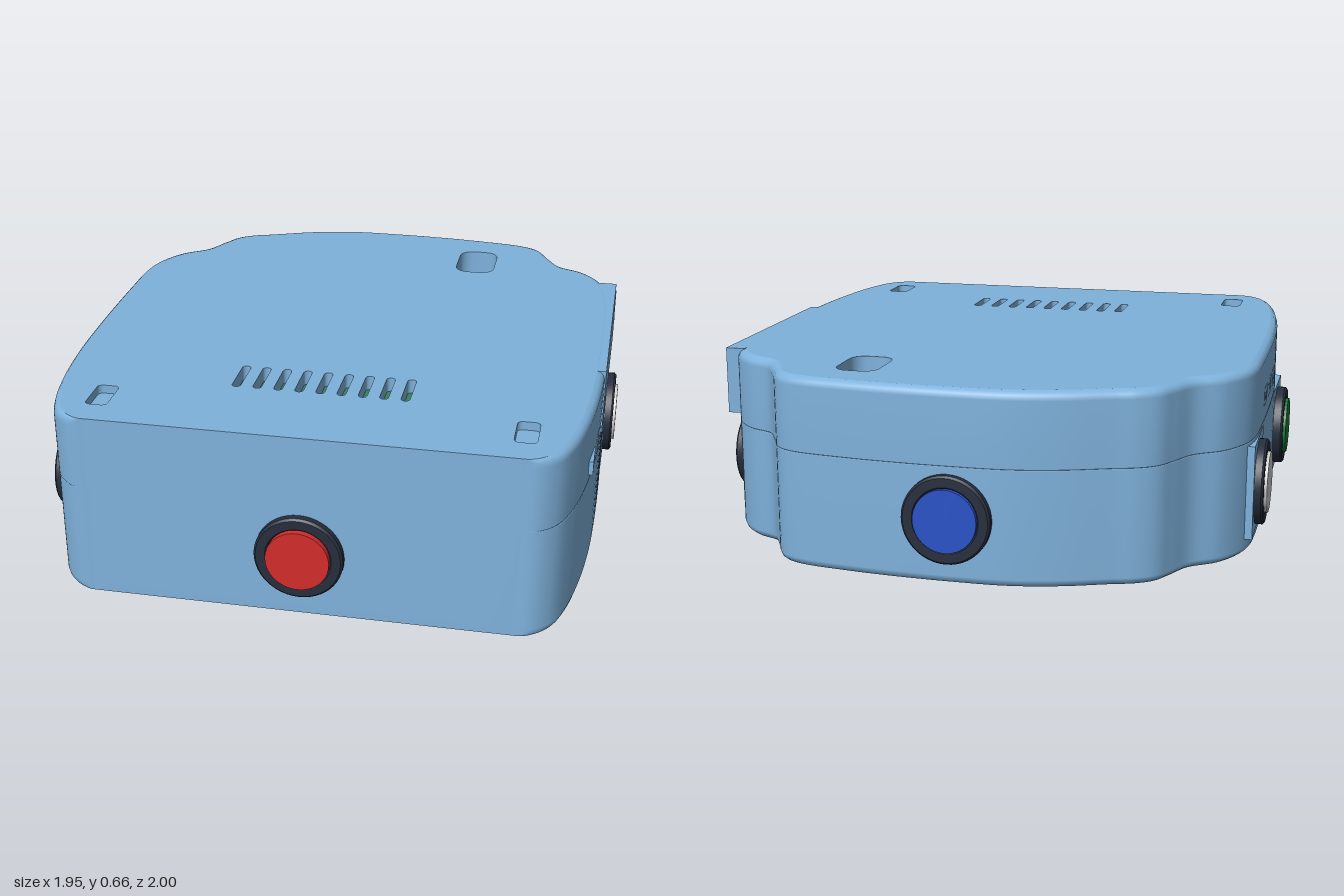
import * as THREE from 'three';
import { toCreasedNormals } from 'three/addons/utils/BufferGeometryUtils.js';

const TOP = 0.657, SEAM = 0.4, FRONT = 0.955;
const mat = (color) => new THREE.MeshStandardMaterial({ color, side: THREE.DoubleSide });
const shell = mat(0x7fb2dc), recess = mat(0x5f8db3), rubber = mat(0x262e3d);
const dark = mat(0x3c434b), black = mat(0x1c262e), board = mat(0x35805a);

function add(parent, name, geometry, material, x = 0, y = 0, z = 0) {
  const mesh = new THREE.Mesh(geometry, material);
  mesh.name = name;
  mesh.position.set(x, y, z);
  parent.add(mesh);
  return mesh;
}

// Plan of the housing as [x, z], running back, right, front, left
const plan = [
  [0, -0.965], [0.2, -0.96], [0.38, -0.945], [0.54, -0.92], [0.605, -0.885], [0.66, -0.79],
  [0.71, -0.715], [0.8, -0.67], [0.865, -0.6], [0.905, -0.5], [0.925, -0.38], [0.932, -0.2],
  [0.932, 0.2], [0.922, 0.45], [0.9, 0.65], [0.87, 0.8], [0.83, 0.9], [0.77, 0.95], [0.7, FRONT],
  [-0.7, FRONT], [-0.77, 0.95], [-0.83, 0.9], [-0.87, 0.8], [-0.9, 0.65], [-0.922, 0.45],
  [-0.932, 0.2], [-0.932, -0.2], [-0.925, -0.38], [-0.9, -0.475], [-0.84, -0.57], [-0.75, -0.64],
  [-0.7, -0.73], [-0.66, -0.795], [-0.6, -0.836], [-0.53, -0.86], [-0.37, -0.92], [-0.2, -0.958],
];
const outline = new THREE.CatmullRomCurve3(plan.map(([x, z]) => new THREE.Vector3(x, 0, z)), true)
  .getPoints(222).slice(0, -1).map((p) => [p.x, Math.min(p.z, FRONT)]);

// Shrinks the plan at the sides and back while the front stays flush
const inset = (d) => outline.map(([x, z]) => [x * (1 - d), FRONT + (z - FRONT) * (1 - d / 2)]);

// Wall through closed rings of [x, z] points, one ring per height
function wall(rings, heights) {
  const n = rings[0].length, pos = [], index = [];
  rings.forEach((ring, k) => ring.forEach(([x, z]) => pos.push(x, heights[k], z)));
  for (let k = 0; k + 1 < rings.length; k++) {
    for (let i = 0; i < n; i++) {
      const a = k * n + i, b = k * n + (i + 1) % n;
      index.push(a, a + n, b, b, a + n, b + n);
    }
  }
  const g = new THREE.BufferGeometry();
  g.setAttribute('position', new THREE.Float32BufferAttribute(pos, 3));
  g.setIndex(index);
  g.computeVertexNormals();
  return g;
}

// Flat plate facing up (dir 1) or down (dir -1) with holes
function plate(points, holes, dir) {
  const v = (list) => list.map(([x, z]) => new THREE.Vector2(x, -dir * z));
  const shape = new THREE.Shape(v(points));
  shape.holes = holes.map((h) => new THREE.Path(v(h)));
  return new THREE.ShapeGeometry(shape).rotateX(-dir * Math.PI / 2);
}

// Rounded rectangle as [x, z] points
function roundRect(cx, cz, w, d, r, steps = 5) {
  const points = [];
  [[1, 1], [-1, 1], [-1, -1], [1, -1]].forEach(([sx, sz], q) => {
    for (let i = 0; i <= steps; i++) {
      const a = (q + i / steps) * Math.PI / 2;
      points.push([cx + sx * (w / 2 - r) + r * Math.cos(a), cz + sz * (d / 2 - r) + r * Math.sin(a)]);
    }
  });
  return points;
}

// Recess in the top or bottom: side walls and a floor
function pocket(parent, name, { points, depth, floor }, y, dir) {
  const g = new THREE.Group();
  g.name = name;
  parent.add(g);
  add(g, 'pocketWall', wall([points, points], [y, y - dir * depth]), shell);
  add(g, 'pocketFloor', plate(points, [], dir), floor, 0, y - dir * depth, 0);
}

function half(parent, name, levels) {
  add(parent, name, wall(levels.map((l) => inset(l[1])), levels.map((l) => l[0])), shell);
}

// Round button with a rubber ring, its axis along +y
function button(parent, name, color, position, rx, rz, capHeight) {
  const g = new THREE.Group();
  g.name = name;
  g.position.set(...position);
  g.rotation.set(rx, 0, rz);
  parent.add(g);
  const profile = [[0.106, -0.06], [0.15, -0.06], [0.15, 0.022], [0.143, 0.029], [0.112, 0.029], [0.106, 0.022]]
    .map(([r, h]) => new THREE.Vector2(r, h));
  add(g, 'buttonRing', toCreasedNormals(new THREE.LatheGeometry(profile, 48), 0.5), rubber);
  add(g, 'buttonCap', new THREE.CylinderGeometry(0.107, 0.107, capHeight, 48), mat(color), 0, capHeight / 2, 0);
}

export function createModel() {
  const model = new THREE.Group();
  model.name = 'roundedDevice';

  // Housing halves with softened edges and a fine seam
  half(model, 'lowerShell', [[0, 0.03], [0.005, 0.016], [0.014, 0.006], [0.03, 0], [0.397, 0], [SEAM, 0.004]]);
  half(model, 'upperShell', [[SEAM, 0.004], [0.403, 0], [0.627, 0], [0.643, 0.006], [0.652, 0.016], [TOP, 0.03]]);

  // Top: vents, corner sockets and a rounded opening
  const topPockets = [{ points: roundRect(0.37, -0.68, 0.15, 0.225, 0.05), depth: 0.12, floor: dark }];
  for (let i = -4; i <= 4; i++) {
    topPockets.push({ points: roundRect(i * 0.0725, 0.545, 0.03, 0.165, 0.0145), depth: 0.05, floor: board });
  }
  for (const s of [-1, 1]) {
    topPockets.push({ points: roundRect(s * 0.71, 0.775, 0.075, 0.145, 0.018), depth: 0.03, floor: shell });
  }
  add(model, 'topPlate', plate(inset(0.03), topPockets.map((p) => p.points), 1), shell, 0, TOP, 0);
  topPockets.forEach((p) => pocket(model, 'topRecess', p, TOP, 1));

  // Underside: square opening and a cluster of sound holes
  const basePockets = [{ points: roundRect(0, 0.02, 0.29, 0.38, 0.005, 1), depth: 0.08, floor: black }];
  for (let i = 0; i < 7; i++) {
    const a = i * Math.PI / 3, r = i < 6 ? 0.11 : 0;
    basePockets.push({
      points: roundRect(-0.4 + r * Math.cos(a), -0.52 + r * Math.sin(a), 0.056, 0.056, 0.028),
      depth: 0.04, floor: recess,
    });
  }
  add(model, 'bottomPlate', plate(inset(0.03), basePockets.map((p) => p.points), -1), shell);
  basePockets.forEach((p) => pocket(model, 'bottomRecess', p, 0, -1));

  // Buttons on all four sides
  const q = Math.PI / 2;
  button(model, 'frontButton', 0xd42c2c, [0, 0.225, FRONT], q, 0, 0.045);
  button(model, 'backButton', 0x2a52c8, [0, 0.225, -0.962], -q, 0, 0.038);
  button(model, 'leftSideButton', 0xdcdee0, [0.936, 0.225, -0.3], 0, -q, 0.039);
  button(model, 'rightSideButton', 0xdcdee0, [-0.936, 0.225, -0.3], 0, q, 0.039);
  button(model, 'rightFrontButton', 0x1a7a36, [-0.936, 0.225, 0.5], 0, q, 0.039);

  // Flat mounts behind the side buttons
  for (const s of [-1, 1]) {
    add(model, 'buttonMount', new THREE.BoxGeometry(0.06, 0.33, 0.3), shell, s * 0.904, 0.225, -0.305);
  }
  add(model, 'buttonMount', new THREE.BoxGeometry(0.06, 0.33, 0.32), shell, -0.899, 0.225, 0.5);

  // Side block with a cover panel and two screws
  add(model, 'coverBlock', new THREE.BoxGeometry(0.07, 0.236, 0.82), shell, 0.9, 0.538, -0.14);
  add(model, 'coverPanel', new THREE.BoxGeometry(0.01, 0.2, 0.81), shell, 0.932, 0.53, -0.14);
  for (const z of [0.24, -0.51]) {
    add(model, 'coverScrew', new THREE.CylinderGeometry(0.013, 0.013, 0.01, 16).rotateZ(q), recess, 0.933, 0.53, z);
  }

  // Ports: a raised surround with a slot
  const port = (x, y, z, w, h) => {
    add(model, 'portSurround', new THREE.BoxGeometry(0.02, h, w), shell, x, y, z);
    add(model, 'portSlot', new THREE.BoxGeometry(0.021, h * 0.4, w * 0.75), recess, x, y, z);
  };
  port(0.912, 0.455, 0.55, 0.11, 0.05);
  port(0.917, 0.455, 0.37, 0.11, 0.065);
  for (const z of [-0.1, 0.05, 0.21]) port(-0.924, 0.49, z, 0.1, 0.065);

  return model;
}
